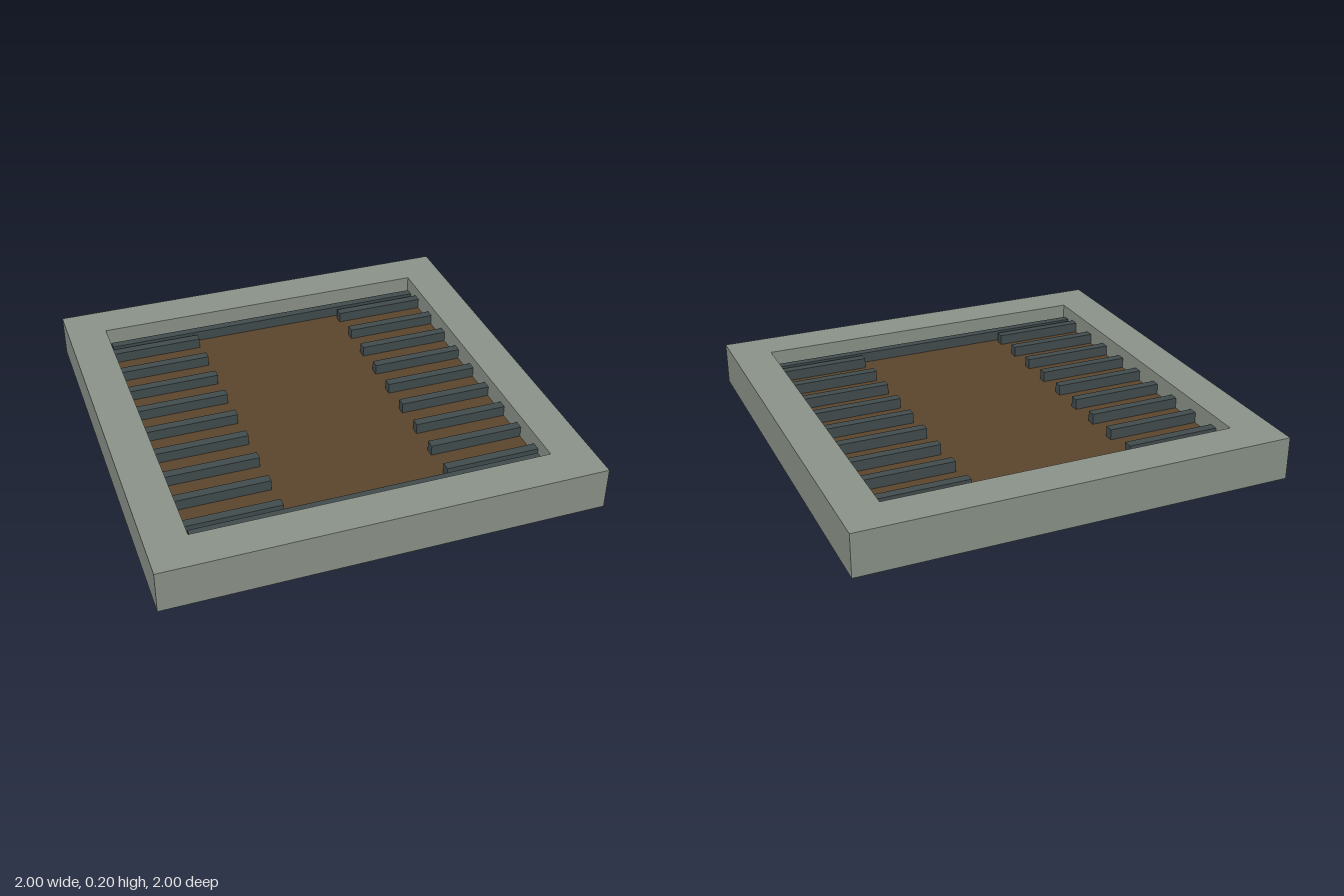
import * as THREE from 'three';

const stone = new THREE.MeshStandardMaterial({ color: 0x8c948a });
stone.name = 'grey stone';
const soil = new THREE.MeshStandardMaterial({ color: 0x5c462c });
soil.name = 'brown floor';
const slate = new THREE.MeshStandardMaterial({ color: 0x424c4e });
slate.name = 'dark slate';

const WALL_H = 0.2, INNER = 0.815, FLOOR_TOP = 0.1, BAR_H = 0.05;

export function createModel() {
  const model = new THREE.Group();
  model.name = 'framedTray';

  // Box standing on height y
  const box = (name, material, w, h, d, x, y, z) => {
    const mesh = new THREE.Mesh(new THREE.BoxGeometry(w, h, d), material);
    mesh.name = name;
    mesh.position.set(x, y + h / 2, z);
    model.add(mesh);
  };

  // Sunken floor, filling the frame
  box('floor', soil, INNER * 2, FLOOR_TOP, INNER * 2, 0, 0, 0);

  const wallT = 1 - INNER, wallMid = (1 + INNER) / 2;
  for (const s of [-1, 1]) {
    // Frame: full-width end walls with side walls between them
    box(s > 0 ? 'frontWall' : 'backWall', stone, 2, WALL_H, wallT, 0, 0, s * wallMid);
    box(s > 0 ? 'leftWall' : 'rightWall', stone, wallT, WALL_H, INNER * 2, s * wallMid, 0, 0);

    // Long rail along each end wall
    box(s > 0 ? 'frontRail' : 'backRail', slate, 1.6, BAR_H, 0.04, 0, FLOOR_TOP, s * 0.752);

    // Row of short bars reaching in from each side wall
    for (let i = -4; i <= 4; i++) {
      box(s > 0 ? 'leftBar' : 'rightBar', slate, 0.44, BAR_H, 0.042,
        s * 0.595, FLOOR_TOP, i * 0.1715);
    }
  }
  return model;
}
